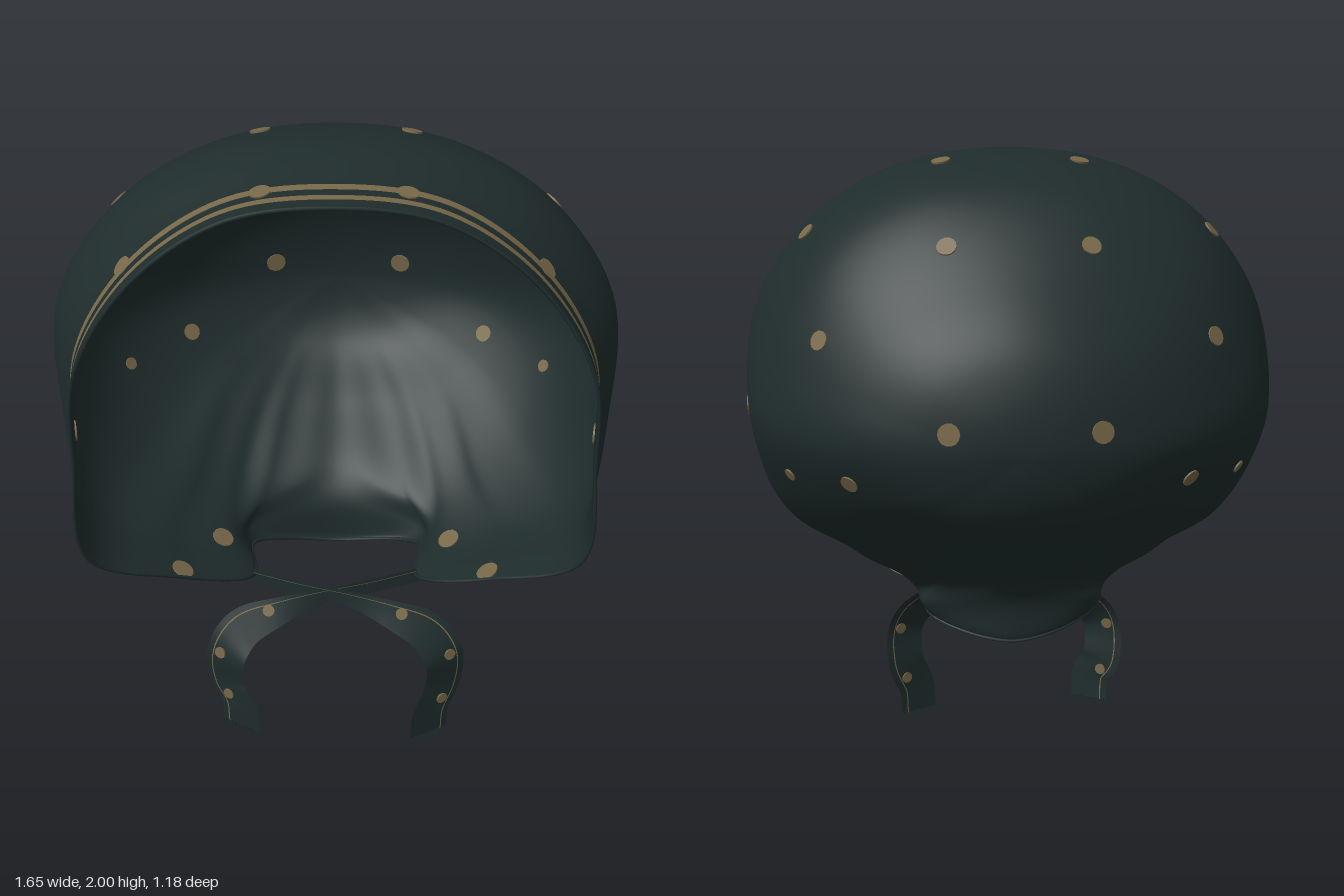
import * as THREE from 'three';
import { mergeVertices } from 'three/addons/utils/BufferGeometryUtils.js';

const V = (p) => new THREE.Vector3(...p);
const mat = (name, color) => {
  const m = new THREE.MeshStandardMaterial({ color, side: THREE.DoubleSide });
  m.name = name;
  return m;
};

// Half rings of the hood, each from top centre round the +x side to bottom centre
const EDGE = [[0, 1.95, .55], [.28, 1.91, .55], [.52, 1.75, .57], [.68, 1.5, .585], [.715, 1.2, .565],
  [.71, .85, .54], [.48, .69, .415], [.26, .58, .27], [.265, .535, .03], [0, .47, -.07]];
const WIDE = [[0, 2, .18], [.34, 1.95, .18], [.6, 1.8, .18], [.785, 1.54, .19], [.815, 1.2, .18],
  [.745, .87, .22], [.52, .71, .2], [.32, .615, .13], [.28, .58, 0], [0, .6, -.085]];
const REAR = [[0, 1.905, -.15], [.3, 1.86, -.15], [.55, 1.71, -.15], [.71, 1.47, -.15], [.76, 1.2, -.15],
  [.63, .92, -.1], [.46, .77, -.03], [.33, .68, -.02], [.22, .66, -.06], [0, .7, -.15]];
const BACK = [[0, 1.66, -.4], [.22, 1.62, -.4], [.4, 1.52, -.4], [.51, 1.37, -.4], [.55, 1.2, -.4],
  [.46, 1.02, -.36], [.37, .93, -.32], [.26, .88, -.32], [.15, .86, -.33], [0, .85, -.34]];
const POLE = [0, 1.2, -.585];
const mix = (a, b, kxy, kz) => [a[0] + (b[0] - a[0]) * kxy, a[1] + (b[1] - a[1]) * kxy, a[2] + (b[2] - a[2]) * kz];

// Mirror a half ring into a closed curve of 18 keys
const ring = (half) => new THREE.CatmullRomCurve3(
  [...half, ...half.slice(1, -1).reverse().map(([x, y, z]) => [-x, y, z])].map(V), true);
const rings = [
  BACK.map((p) => mix(POLE, p, .56, .26)), BACK, REAR, WIDE,
  EDGE.map((p, i) => mix(p, WIDE[i], .12, .3)), EDGE,
].map(ring);
const onRing = (r, a) => r.getPoint(((a % 1) + 1) % 1);

// Rib from the back pole to the edge; its first point lies past the pole for a smooth crown
const rib = (a) => new THREE.CatmullRomCurve3(
  [onRing(rings[0], a + .5), V(POLE), ...rings.map((r) => onRing(r, a))]);

// Grid surface from a function of (column, row)
function grid(cols, rows, fn) {
  const pos = [], idx = [];
  for (let i = 0; i <= cols; i++) for (let j = 0; j <= rows; j++) pos.push(...fn(i, j).toArray());
  for (let i = 0; i < cols; i++) for (let j = 0; j < rows; j++) {
    const a = i * (rows + 1) + j, b = a + rows + 1;
    idx.push(a, a + 1, b, b, a + 1, b + 1);
  }
  let g = new THREE.BufferGeometry();
  g.setAttribute('position', new THREE.Float32BufferAttribute(pos, 3));
  g.setIndex(idx);
  g = mergeVertices(g, 1e-5);
  g.computeVertexNormals();
  return g;
}

// Hood shell with soft gathers near the neck
function hoodGeometry() {
  const cols = 180, rows = 72;
  const ribs = Array.from({ length: cols + 1 }, (_, i) => rib((i % cols) / cols));
  return grid(cols, rows, (i, j) => {
    const v = j / rows, p = ribs[i].getPoint((1 + v * 6) / 7);
    const fade = THREE.MathUtils.clamp((1 - v) * 4 - .8, 0, 1) * (1 - THREE.MathUtils.smoothstep(p.y, .65, 1));
    const k = 1 + .018 * fade * Math.cos((i % cols) / cols * Math.PI * 2 * 20);
    p.x *= k;
    p.z *= k;
    return p;
  });
}

// Stripe beside the front rim, between two distances from the edge, ending at the lower corners
function stripeGeometry(d0, d1) {
  const cols = 120, span = 5.1 / 18;
  return grid(cols, 2, (i, j) => {
    const c = rib((i / cols * 2 - 1) * span);
    const p = c.getPointAt(1 - (d1 + (d0 - d1) * j / 2) / c.getLength());
    const out = new THREE.Vector3(p.x, p.y - 1.2, 0).normalize();
    return p.addScaledVector(out, .004);
  });
}

export function createModel() {
  const model = new THREE.Group();
  model.name = 'bonnet';
  const fabric = mat('dark teal fabric', 0x1f2c2c);
  const tan = mat('tan print', 0x786849);
  const add = (name, geo, m, parent = model) => {
    const mesh = new THREE.Mesh(geo, m);
    mesh.name = name;
    parent.add(mesh);
    return mesh;
  };

  const hood = hoodGeometry();
  add('hood', hood, fabric);
  add('edgeHem', new THREE.TubeGeometry(rings[5], 160, .006, 6, true), fabric);
  add('outerRimStripe', stripeGeometry(.043, .069), tan);
  add('innerRimStripe', stripeGeometry(.1, .127), tan);

  // Printed spots (x, y, z, size), showing on both faces of the cloth
  const up = new THREE.Vector3(0, 1, 0);
  const spotGeo = new THREE.CylinderGeometry(.029, .029, .009, 14);
  const spot = (p, n, size, parent = model) => {
    const m = add('spot', spotGeo, tan, parent);
    m.position.copy(p);
    m.quaternion.setFromUnitVectors(up, n);
    m.scale.set(size, 1, size);
  };
  const spots = [[.21, 1.97, .055, 1], [.62, 1.76, .045, 1], [.81, 1.22, .1, 1.05], [.21, 1.77, -.33, 1],
    [.57, 1.49, -.31, 1], [.21, 1.27, -.56, 1.1], [.48, 1.1, -.38, .95], [.66, 1.08, -.2, .7],
    [.19, 1.95, .435, 1], [.57, 1.75, .445, 1], [.75, 1.23, .45, 1], [.46, .69, .37, 1.2], [.36, .64, .15, 1.2]];
  const P = hood.attributes.position, N = hood.attributes.normal;
  const q = new THREE.Vector3();
  for (const [x, y, z, size] of spots) for (const side of [1, -1]) {
    const target = new THREE.Vector3(x * side, y, z);
    let best = 0, dist = Infinity;
    for (let i = 0; i < P.count; i++) {
      const d = q.fromBufferAttribute(P, i).distanceToSquared(target);
      if (d < dist) { dist = d; best = i; }
    }
    const n = new THREE.Vector3().fromBufferAttribute(N, best);
    const p = new THREE.Vector3().fromBufferAttribute(P, best);
    // Slide the spot within the cloth plane to its exact place
    p.add(target.sub(p).projectOnPlane(n));
    spot(p, n, size);
  }

  // Ties: ribbons that cross under the chin and hang down, with fringed ends
  const tiePath = [[-.26, .57, .26], [-.12, .55, .29], [.04, .53, .32], [.18, .49, .35], [.29, .435, .365],
    [.345, .35, .38], [.345, .22, .37], [.31, .12, .39], [.305, .03, .39]];
  for (const side of [1, -1]) {
    const tie = new THREE.Group();
    tie.name = side > 0 ? 'leftTie' : 'rightTie';
    model.add(tie);
    const lift = side > 0 ? 0 : .03;
    const path = new THREE.CatmullRomCurve3(tiePath.map(([x, y, z], i) =>
      V([x * side, y + (i > 6 ? lift : 0), z + (side < 0 && i < 5 ? -.012 : 0)])));
    // Frame along the ribbon: centre, half-width vector and face normal
    const frame = (t) => {
      const c = path.getPoint(t), along = path.getTangent(t);
      const w = new THREE.Vector3(-along.y, along.x, 0).normalize().multiplyScalar(side);
      if (t > .99) w.set(side, 0, 0);
      w.multiplyScalar(THREE.MathUtils.lerp(.026, .06, THREE.MathUtils.smoothstep(t, .2, .58)));
      w.z = -.032 * THREE.MathUtils.smoothstep(t, .2, .5);
      return { c, w, n: new THREE.Vector3().crossVectors(along, w).normalize() };
    };
    const strip = (s0, s1, off) => grid(60, 4, (i, j) => {
      const { c, w, n } = frame(i / 60);
      return c.addScaledVector(w, s0 + (s1 - s0) * j / 4).addScaledVector(n, off);
    });
    add('ribbon', strip(-1, 1, 0), fabric, tie);
    for (const off of [.003, -.003]) add('ribbonStripe', strip(.62, .68, off), tan, tie);
    for (const t of [.4, .63, .81]) {
      const { c, w, n } = frame(t);
      spot(c.addScaledVector(w, .3), n, .65, tie);
    }
    const end = frame(1);
    const thread = new THREE.BoxGeometry(.004, .03, .004);
    for (let i = 0; i < 11; i++) {
      const m = add('fringe', thread, fabric, tie);
      m.position.copy(end.c).addScaledVector(end.w, (i / 5 - 1) * .96);
      m.position.y -= .014 - .003 * (i % 2);
    }
  }
  return model;
}
